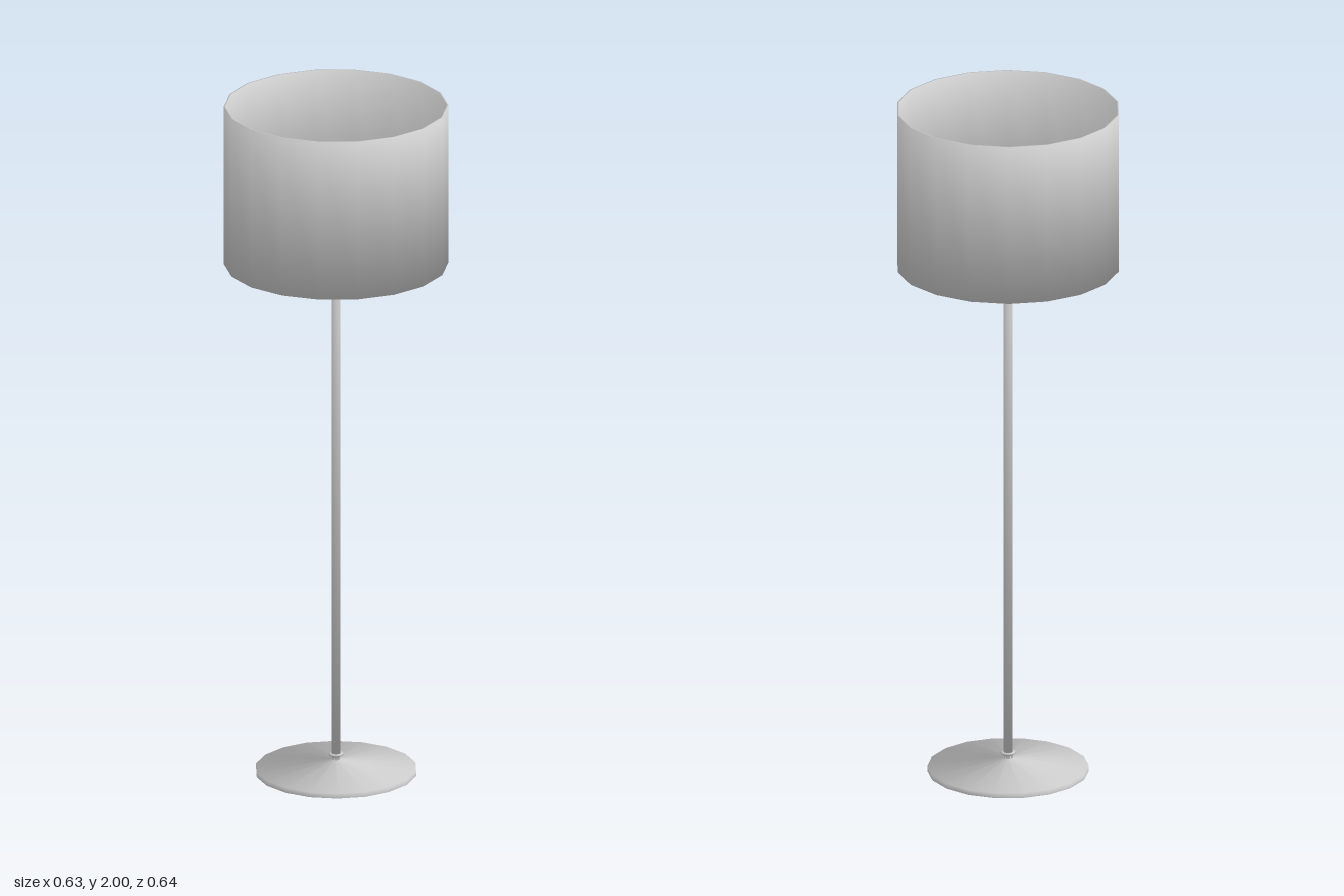
import * as THREE from 'three';

const solid = new THREE.MeshStandardMaterial({ color: 0xcccccc });
const openSheet = new THREE.MeshStandardMaterial({ color: 0xcccccc, side: THREE.DoubleSide });
const SIDES = 18;

function add(parent, name, geometry, y = 0, material = solid) {
  const mesh = new THREE.Mesh(geometry, material);
  mesh.name = name;
  mesh.position.y = y;
  parent.add(mesh);
  return mesh;
}

// Turned part whose normals blend evenly across every profile corner
function softLathe(profile, sides, start = 0) {
  const points = profile.map(([r, y]) => new THREE.Vector2(r, y));
  const geometry = new THREE.LatheGeometry(points, sides, start);
  const last = points.length - 1;
  const closed = points[0].equals(points[last]);
  const facing = points.slice(1).map((p, i) =>
    new THREE.Vector2(p.y - points[i].y, points[i].x - p.x).normalize());
  const blended = points.map((_, j) => {
    const before = facing[j > 0 ? j - 1 : closed ? last - 1 : 0];
    const after = facing[j < last ? j : closed ? 0 : last - 1];
    return before.clone().add(after).normalize();
  });
  for (let i = 0; i <= sides; i++) {
    const angle = start + i / sides * Math.PI * 2;
    blended.forEach((n, j) => geometry.attributes.normal.setXYZ(
      i * points.length + j, n.x * Math.sin(angle), n.y, n.x * Math.cos(angle)));
  }
  return geometry;
}

export function createModel() {
  const lamp = new THREE.Group();
  lamp.name = 'floorLamp';

  // Shallow conical foot, an open shell with a short rim and neck
  add(lamp, 'base', softLathe([[0.229, 0], [0.229, 0.015], [0.013, 0.04], [0.013, 0.05]],
    SIDES, Math.PI / 2), 0, openSheet);

  // Pole with a small flange at the foot and one inside the shade
  add(lamp, 'pole', softLathe([[0, 0.04], [0.013, 0.04], [0.013, 1.81], [0, 1.81]], 16));
  const flange = [[0.012, -0.005], [0.021, 0], [0.021, 0.005], [0.012, 0.005]];
  add(lamp, 'lowerCollar', softLathe(flange, 16), 0.053);
  add(lamp, 'upperCollar', softLathe(flange, 16), 1.548);

  // Round bulb on top of the pole
  add(lamp, 'bulb', new THREE.SphereGeometry(0.039, 24, 16), 1.83);

  // Thin-walled drum shade, open at both ends
  const outer = 0.319, inner = 0.314, bottom = 1.527, top = 2;
  add(lamp, 'shade', softLathe([
    [outer, bottom], [outer, top], [inner, top], [inner, bottom], [outer, bottom],
  ], SIDES));

  // Four spokes carrying the shade, turned very slightly
  const spokes = new THREE.Group();
  spokes.name = 'shadeSpokes';
  spokes.position.y = 1.745;
  spokes.rotation.y = 0.007;
  for (let i = 0; i < 4; i++) {
    const length = i % 2 ? 0.316 : 0.311; // corner or flat of the shade
    const geometry = new THREE.CylinderGeometry(0.0035, 0.0035, length, 8);
    geometry.rotateZ(Math.PI / 2).translate(length / 2, 0, 0);
    add(spokes, 'spoke', geometry).rotation.y = i * Math.PI / 2;
  }
  lamp.add(spokes);

  return lamp;
}
